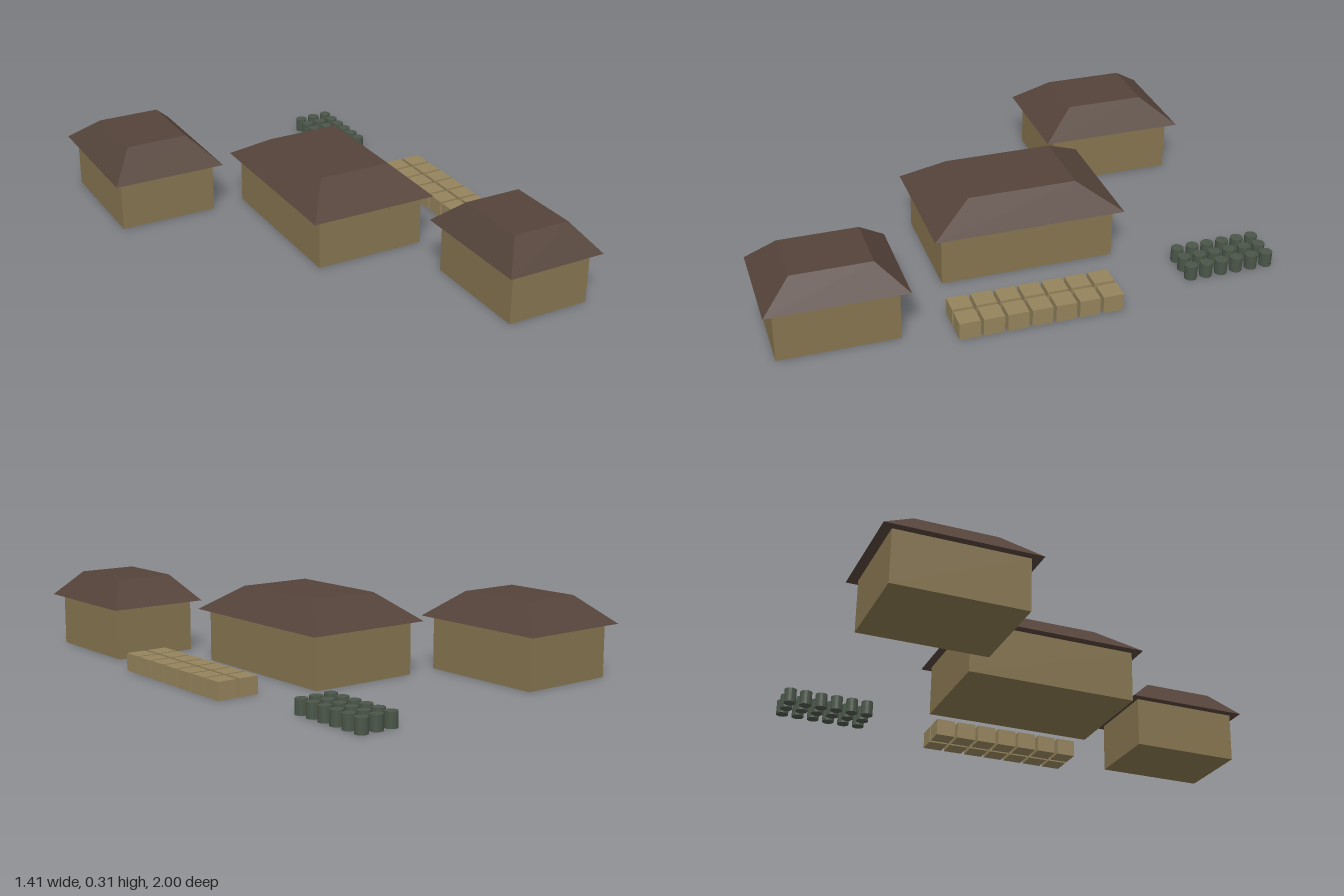
import * as THREE from 'three';

const paint = (color) => new THREE.MeshStandardMaterial({ color, flatShading: true });
const wallMat = paint(0x85744f);
const roofMat = paint(0x54433a);
const crateMat = paint(0x94835c);
const barrelMat = paint(0x4a5548);

const WALL_H = 0.21;
const ROOF_H = 0.104;

// Hipped roof with a flat top: a box whose upper corners are pulled inward
function hipRoof(w, d, topW, topD) {
  const geo = new THREE.BoxGeometry(w, ROOF_H, d);
  const p = geo.attributes.position;
  for (let i = 0; i < p.count; i++) {
    if (p.getY(i) > 0) {
      p.setX(i, Math.sign(p.getX(i)) * topW / 2);
      p.setZ(i, Math.sign(p.getZ(i)) * topD / 2);
    }
  }
  geo.computeVertexNormals();
  return geo;
}

function add(parent, name, geo, mat, x, y, z) {
  const mesh = new THREE.Mesh(geo, mat);
  mesh.name = name;
  mesh.position.set(x, y, z);
  parent.add(mesh);
}

function house({ name, x, z, wall, eaves, top }) {
  const g = new THREE.Group();
  g.name = name;
  g.position.set(x, 0, z);
  add(g, 'walls', new THREE.BoxGeometry(wall[0], WALL_H, wall[1]), wallMat, 0, WALL_H / 2, 0);
  add(g, 'roof', hipRoof(...eaves, ...top), roofMat, 0, WALL_H + ROOF_H / 2, 0);
  return g;
}

// Rows and columns of one item standing on the ground
function stack(name, item, geo, mat, height, xs, zStart, zStep, rows) {
  const g = new THREE.Group();
  g.name = name;
  for (const x of xs) {
    for (let r = 0; r < rows; r++) add(g, item, geo, mat, x, height / 2, zStart + r * zStep);
  }
  return g;
}

export function createModel() {
  const model = new THREE.Group();
  model.name = 'storageYard';

  // Three storehouses; sizes are [width, depth]
  model.add(
    house({ name: 'backHouse', x: -0.47, z: -0.657, wall: [0.406, 0.515], eaves: [0.469, 0.592], top: [0.257, 0.322] }),
    house({ name: 'middleHouse', x: 0.107, z: -0.077, wall: [0.458, 0.696], eaves: [0.532, 0.762], top: [0.302, 0.434] }),
    house({ name: 'frontHouse', x: 0.455, z: 0.735, wall: [0.343, 0.46], eaves: [0.411, 0.53], top: [0.239, 0.305] })
  );

  // Double row of crates
  model.add(stack('crates', 'crate', new THREE.BoxGeometry(0.08, 0.07, 0.08), crateMat,
    0.07, [0.57, 0.664], -0.287, 0.0928, 7));

  // Block of barrels
  model.add(stack('barrels', 'barrel', new THREE.CylinderGeometry(0.0247, 0.0247, 0.058, 12), barrelMat,
    0.058, [0.455, 0.519, 0.583], -0.975, 0.0637, 6));

  return model;
}
